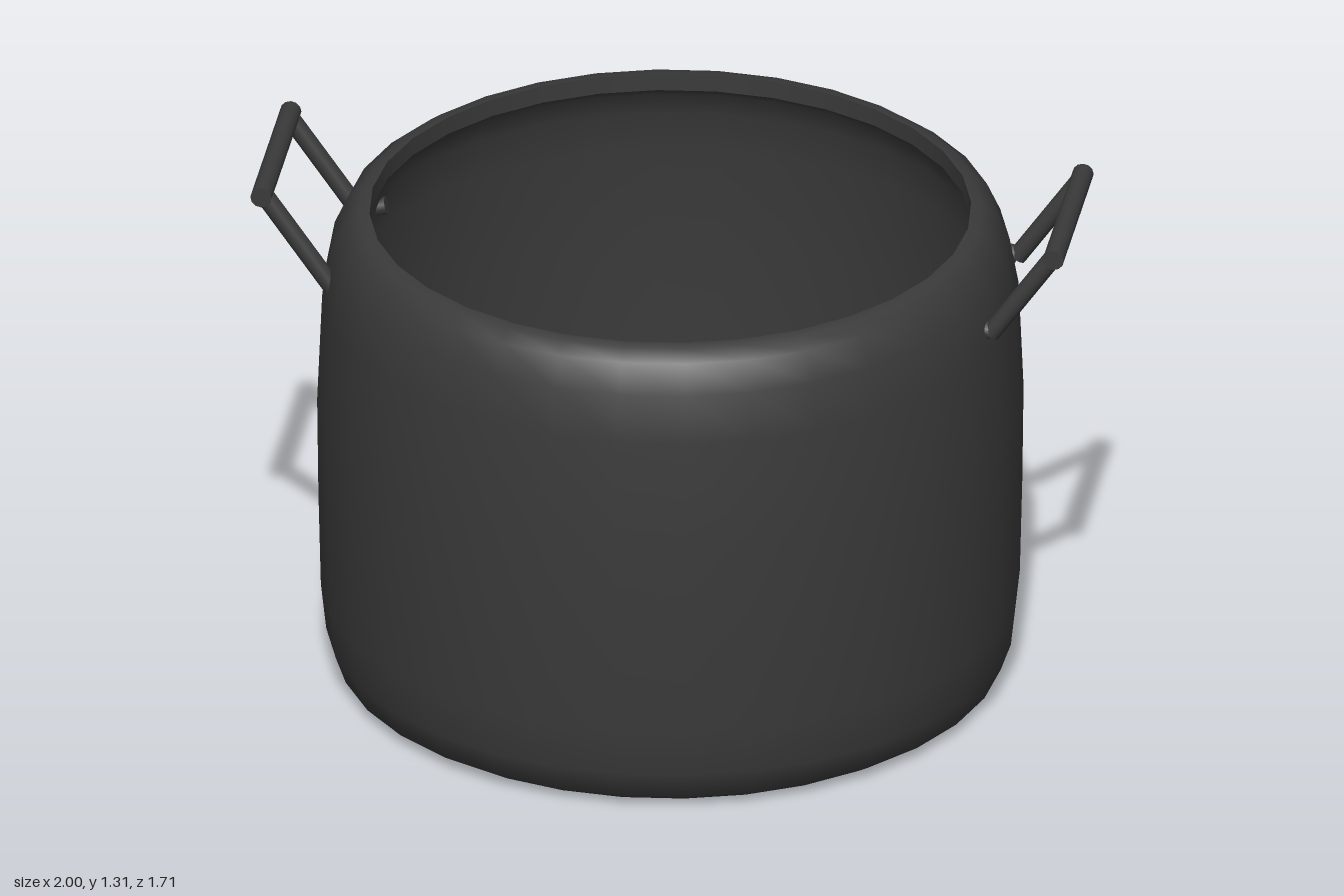
import * as THREE from 'three';

const metal = new THREE.MeshStandardMaterial({ color: 0x3a3a3a });

function add(parent, name, geometry) {
  const mesh = new THREE.Mesh(geometry, metal);
  mesh.name = name;
  parent.add(mesh);
  return mesh;
}

// Smooth surface of revolution from [radius, height] pairs
function lathe(points) {
  return new THREE.LatheGeometry(points.map(([r, y]) => new THREE.Vector2(r, y)), 32);
}

// Round rod between two points
function rod(parent, name, a, b, radius) {
  const from = new THREE.Vector3(...a), to = new THREE.Vector3(...b);
  const dir = to.clone().sub(from);
  const mesh = add(parent, name, new THREE.CylinderGeometry(radius, radius, dir.length(), 12));
  mesh.position.copy(from).add(to).multiplyScalar(0.5);
  mesh.quaternion.setFromUnitVectors(new THREE.Vector3(0, 1, 0), dir.normalize());
}

// Square loop handle, tilted outwards; side is +1 for left, -1 for right
function handle(name, side, topX, topY, footX) {
  const group = new THREE.Group();
  group.name = name;
  rod(group, 'grip', [side * topX, topY, -0.255], [side * topX, topY, 0.222], 0.026);
  for (const z of [-0.226, 0.194]) {
    rod(group, 'leg', [side * topX, topY, z], [side * footX, 1.04, z], 0.023);
    // Stub that passes through the wall
    rod(group, 'rivet', [side * footX, 1.045, z], [side * 0.735, 1.06, z], 0.022);
  }
  return group;
}

export function createModel() {
  const model = new THREE.Group();
  model.name = 'cookingPot';

  const body = new THREE.Group();
  body.name = 'body';
  body.position.x = -0.004;
  model.add(body);

  // Base, gently bulging wall and rounded shoulder
  add(body, 'outerShell', lathe([
    [0, 0], [0.6, 0], [0.765, 0.002], [0.81, 0.03], [0.835, 0.1], [0.848, 0.22],
    [0.854, 0.47], [0.857, 0.72], [0.845, 1.0], [0.823, 1.12], [0.79, 1.192],
    [0.757, 1.217], [0.73, 1.22],
  ]));
  // Narrow inner edge of the rim
  add(body, 'rimEdge', lathe([[0.73, 1.22], [0.729, 1.175]]));
  // Hollow interior
  add(body, 'innerShell', lathe([
    [0.729, 1.175], [0.757, 1.15], [0.778, 1.09], [0.797, 0.98], [0.807, 0.72],
    [0.804, 0.47], [0.798, 0.22], [0.785, 0.12], [0.762, 0.065], [0.72, 0.05],
    [0.5, 0.05], [0, 0.05],
  ]));

  model.add(handle('leftHandle', 1, 0.969, 1.262, 0.812));
  model.add(handle('rightHandle', -1, 0.974, 1.284, 0.802));
  return model;
}
